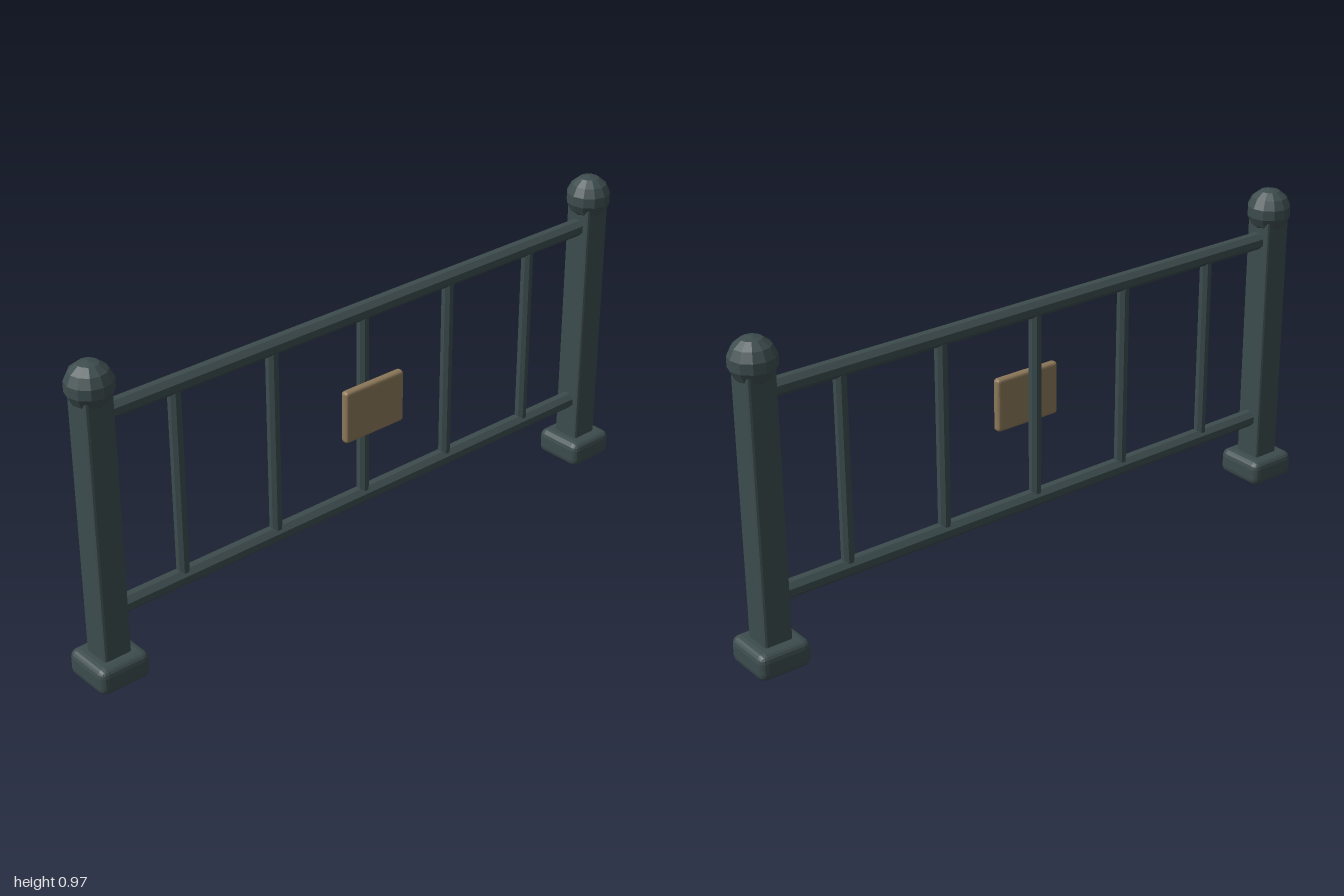
import * as THREE from 'three';
import { RoundedBoxGeometry } from 'three/addons/geometries/RoundedBoxGeometry.js';

export function createModel() {
  const group = new THREE.Group();
  const iron = new THREE.MeshStandardMaterial({ color: 0x3d4c4e, flatShading: true });
  const bronze = new THREE.MeshStandardMaterial({ color: 0x8b7759, flatShading: true });

  function add(name, geometry, x, y, z = 0, material = iron) {
    const mesh = new THREE.Mesh(geometry, material);
    mesh.name = name;
    mesh.position.set(x, y, z);
    group.add(mesh);
    return mesh;
  }

  // End posts: foot block, chamfered shaft and ball finial
  const foot = new RoundedBoxGeometry(0.164, 0.083, 0.164, 2, 0.024);
  const shaft = new RoundedBoxGeometry(0.088, 0.84, 0.088, 1, 0.008);
  const ball = new THREE.SphereGeometry(0.068, 12, 7);
  for (const [side, s] of [['left', 1], ['right', -1]]) {
    add(side + 'PostFoot', foot, s * 0.918, 0.0415);
    add(side + 'PostShaft', shaft, s * 0.918, 0.46);
    add(side + 'PostBall', ball, s * 0.918, 0.901);
  }

  // Horizontal rails, eight-sided with flats up and forward
  const rail = new THREE.CylinderGeometry(0.027, 0.027, 1.78, 8);
  rail.rotateY(Math.PI / 8);
  rail.rotateZ(Math.PI / 2);
  add('topRail', rail, 0, 0.81);
  add('bottomRail', rail, 0, 0.21);

  // Upright bars between the rails
  const bar = new THREE.CylinderGeometry(0.019, 0.019, 0.6, 8);
  bar.rotateY(Math.PI / 8);
  for (let i = -2; i <= 2; i++) add('uprightBar', bar, i * 0.33, 0.51);

  // Blank plaque in front of the middle bar
  add('plaque', new RoundedBoxGeometry(0.22, 0.165, 0.027, 2, 0.01), 0, 0.522, 0.043, bronze);

  return group;
}
